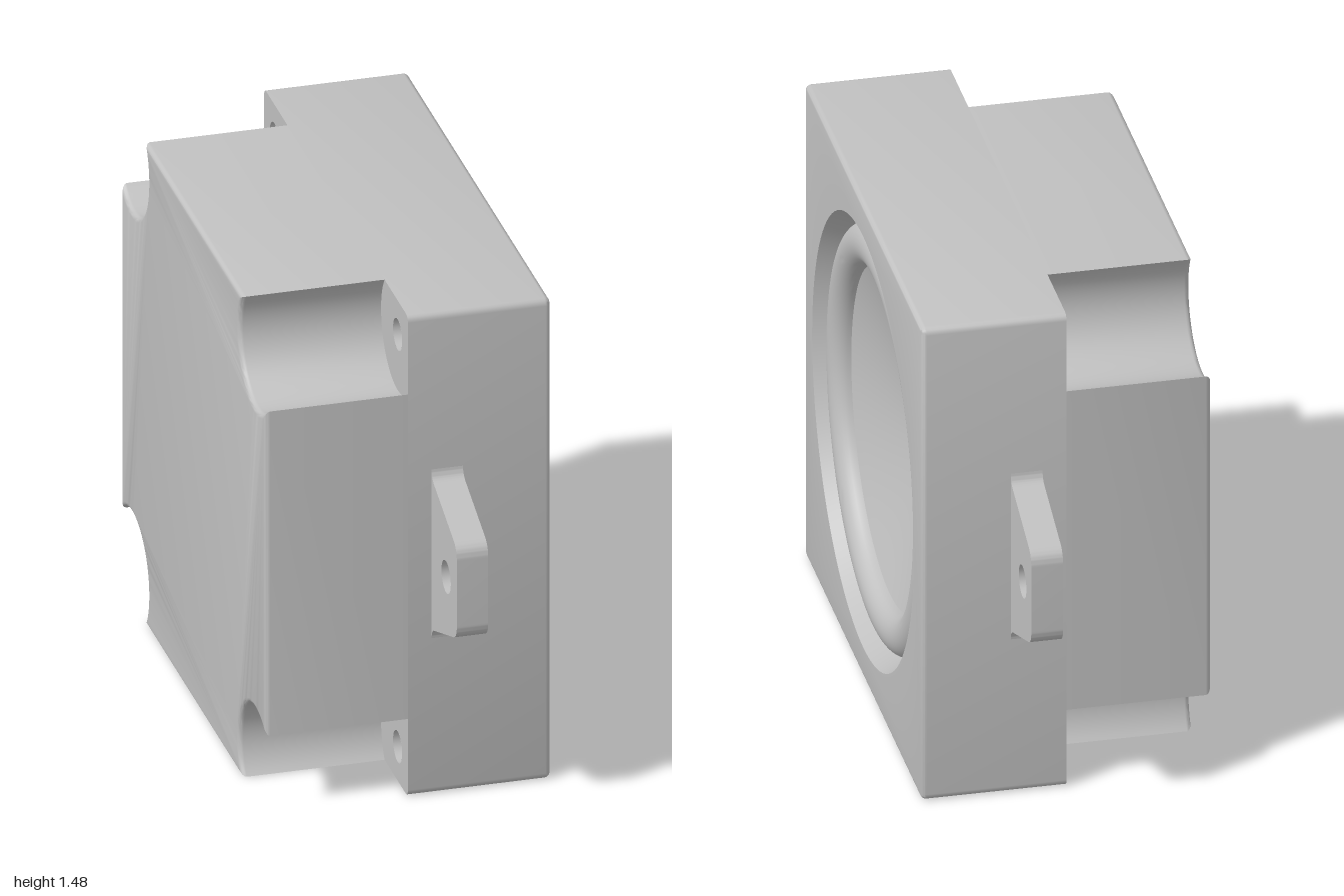
import * as THREE from 'three';
import { toCreasedNormals, mergeGeometries } from 'three/addons/utils/BufferGeometryUtils.js';

const H = 0.74;        // half width of the square housing
const D = 0.41;        // half depth
const BEVEL = 0.015;
const SCREW = 0.105;   // screw axis distance from the sides
const SCOOP = 0.171;   // radius of the corner scoops
const HOLE = 0.047;
const RECESS = 0.645;

// Outline made of one arc per corner, repeated four times counter-clockwise
function outline(centre, radius, from, to, n) {
  const pts = [];
  for (let k = 0; k < 4; k++) {
    for (let i = 0; i <= n; i++) {
      const a = from + (to - from) * i / n;
      const p = new THREE.Vector2(centre + radius * Math.cos(a), centre + radius * Math.sin(a));
      pts.push(p.rotateAround(new THREE.Vector2(), k * Math.PI / 2));
    }
  }
  return pts;
}
const squareRing = inset => outline(H - 0.02, 0.02 - inset, 0, Math.PI / 2, 4);
function scoopedRing(inset) {
  const r = SCOOP + inset;
  const a = Math.acos((SCREW - inset) / r);
  return outline(H - SCREW, r, -a, Math.PI / 2 + a - Math.PI * 2, 28);
}

// Skin between outlines at increasing depths
function loft(sections) {
  const pos = [], index = [], n = sections[0].ring.length;
  for (const { ring, z } of sections) for (const p of ring) pos.push(p.x, p.y, z);
  for (let s = 0; s < sections.length - 1; s++) {
    for (let j = 0; j < n; j++) {
      const a = s * n + j, b = s * n + (j + 1) % n;
      index.push(a, b, b + n, a, b + n, a + n);
    }
  }
  const g = new THREE.BufferGeometry();
  g.setAttribute('position', new THREE.Float32BufferAttribute(pos, 3));
  g.setIndex(index);
  return g;
}

function circlePath(x, y, r) {
  return new THREE.Path().absarc(x, y, r, 0, Math.PI * 2, true);
}

// Flat end face with round holes; facing -1 turns it backwards
function cap(ring, z, facing, holes) {
  const shape = new THREE.Shape(ring);
  shape.holes = holes;
  const g = new THREE.ShapeGeometry(shape, 48);
  if (facing < 0) g.rotateY(Math.PI);
  return g.translate(0, 0, z);
}

function solid(parts) {
  const clean = parts.map(p => {
    const g = p.toNonIndexed();
    g.deleteAttribute('uv');
    g.deleteAttribute('normal');
    return g;
  });
  return toCreasedNormals(mergeGeometries(clean), 0.6);
}

// Rounded end: insets and depths along a quarter circle
const roundSteps = [0, 1, 2, 3, 4].map(i => {
  const a = i / 4 * Math.PI / 2;
  return { inset: BEVEL * (1 - Math.cos(a)), z: D - BEVEL + BEVEL * Math.sin(a) };
});

export function createModel() {
  const grey = new THREE.MeshStandardMaterial({ color: 0xc0c0c0, side: THREE.DoubleSide });
  grey.name = 'grey';
  const root = new THREE.Group();
  root.name = 'speaker';
  // Parts are built facing +z, then turned towards +x
  const body = new THREE.Group();
  body.name = 'body';
  body.rotation.y = Math.PI / 2;
  body.position.y = H;
  root.add(body);
  const add = (name, geometry) => {
    const mesh = new THREE.Mesh(geometry, grey);
    mesh.name = name;
    body.add(mesh);
    return mesh;
  };

  const corners = [[1, 1], [-1, 1], [-1, -1], [1, -1]].map(c => c.map(v => v * (H - SCREW)));

  // Square front half with the driver opening and screw holes behind
  add('frontHousing', solid([
    loft([{ ring: squareRing(0), z: 0 },
      ...roundSteps.map(s => ({ ring: squareRing(s.inset), z: s.z }))]),
    cap(squareRing(BEVEL), D, 1, [circlePath(0, 0, RECESS)]),
    cap(squareRing(0), 0, -1, corners.map(([x, y]) => circlePath(x, y, HOLE))),
  ]));

  // Rear half with scooped corners
  add('rearHousing', solid([
    loft([...roundSteps.map(s => ({ ring: scoopedRing(s.inset), z: -s.z })).reverse(),
      { ring: scoopedRing(0), z: 0 }]),
    cap(scoopedRing(BEVEL), -D, -1, []),
  ]));

  // Blind screw holes
  for (const [x, y] of corners) {
    const profile = [[HOLE, 0], [HOLE, 0.2], [0, 0.2]].map(p => new THREE.Vector2(...p));
    const hole = new THREE.LatheGeometry(profile, 24).rotateX(Math.PI / 2);
    add('screwHole', toCreasedNormals(hole, 0.6)).position.set(x, y, 0);
  }

  // Driver: sloped rim, rolled surround and dished cone
  const turned = (name, pts) => {
    const g = new THREE.LatheGeometry(pts.map(p => new THREE.Vector2(...p)), 96);
    add(name, toCreasedNormals(g.rotateX(Math.PI / 2), 0.6));
  };
  const seat = D - 0.075;
  turned('recessRim', [[RECESS, D], [0.61, seat]]);
  const roll = [];
  for (let i = 0; i <= 16; i++) {
    const a = i / 16 * Math.PI;
    roll.push([0.5475 + 0.0625 * Math.cos(a), seat + 0.055 * Math.sin(a)]);
  }
  turned('surround', roll);
  const dish = [];
  for (let i = 0; i <= 12; i++) {
    const t = 1 - i / 12;
    dish.push([0.485 * t, seat - 0.14 * (1 - 0.6 * t - 0.4 * t * t)]);
  }
  turned('cone', dish);

  // Mounting ears on both sides
  const ear = new THREE.Shape();
  ear.moveTo(0.72, -0.26);
  ear.lineTo(0.74, -0.26);
  ear.quadraticCurveTo(0.742, -0.235, 0.765, -0.225);
  ear.lineTo(0.965, -0.15);
  ear.quadraticCurveTo(1, -0.137, 1, -0.1);
  ear.lineTo(1, 0.1);
  ear.quadraticCurveTo(1, 0.137, 0.965, 0.15);
  ear.lineTo(0.765, 0.225);
  ear.quadraticCurveTo(0.742, 0.235, 0.74, 0.26);
  ear.lineTo(0.72, 0.26);
  ear.holes.push(circlePath(0.89, 0, 0.048));
  for (const turn of [0, Math.PI]) {
    const g = new THREE.ExtrudeGeometry(ear, { depth: 0.09, bevelEnabled: false, curveSegments: 14 });
    g.translate(0, 0, 0.068).rotateZ(turn);
    add('mountingEar', toCreasedNormals(g, 0.6));
  }
  return root;
}
